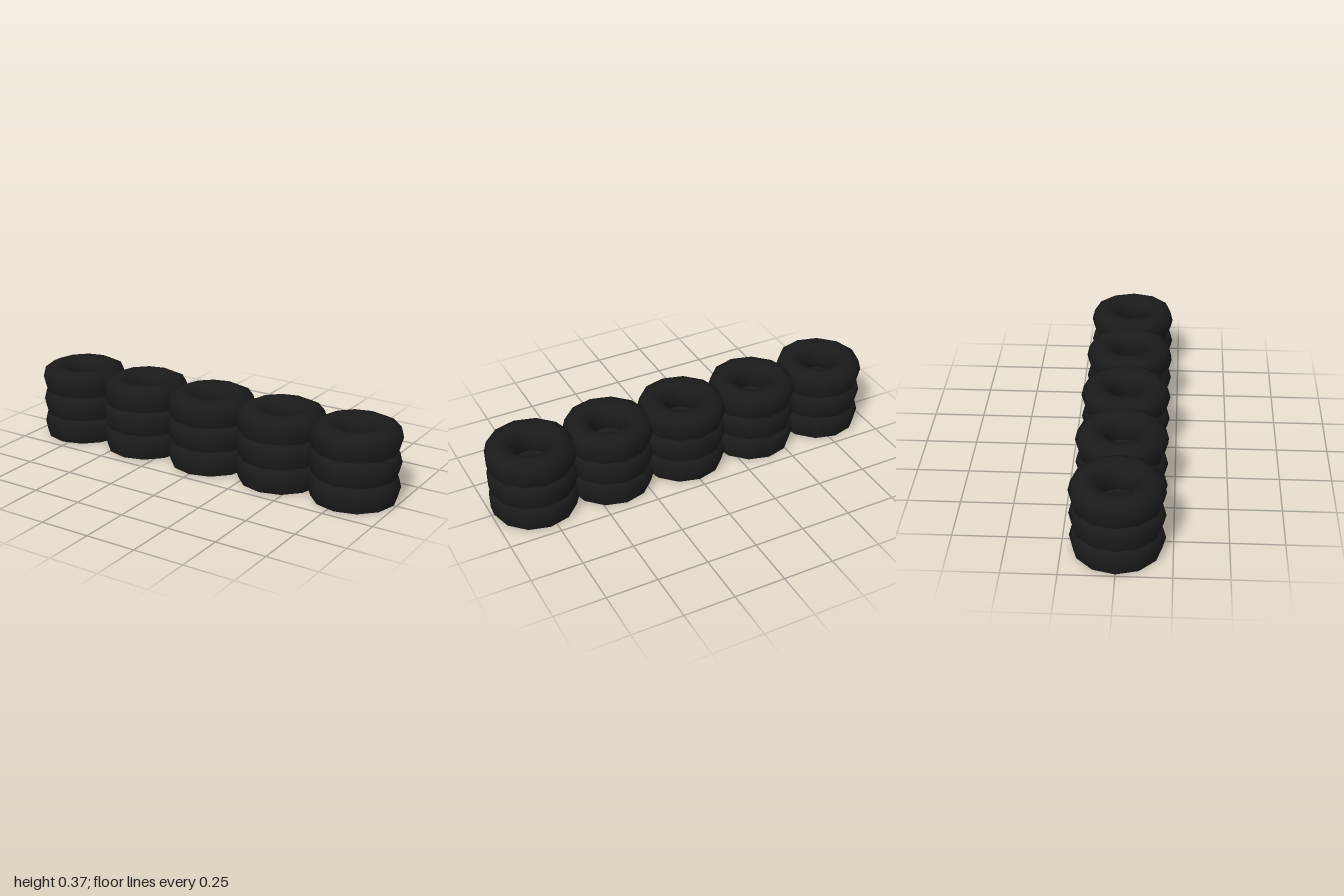
import * as THREE from 'three';
import { toCreasedNormals } from 'three/addons/utils/BufferGeometryUtils.js';

const COLUMNS = 5, LAYERS = 3;
const SPACING = 0.392, TYRE_HEIGHT = 0.1232;

// Tyre cross-section: flat underside, bulging wall, rounded top, inner rim
function tyreGeometry() {
  const profile = [
    [0.085, 0], [0.203, 0], [0.216, 0.05], [0.203, 0.102], [0.16, 0.1235],
    [0.112, 0.115], [0.081, 0.078], [0.076, 0.03], [0.085, 0],
  ].map(([r, y]) => new THREE.Vector2(r, y));
  return toCreasedNormals(new THREE.LatheGeometry(profile, 12), THREE.MathUtils.degToRad(60));
}

export function createModel() {
  const model = new THREE.Group();
  model.name = 'tyreBarrier';
  const rubber = new THREE.MeshStandardMaterial({ color: 0x1a1a1a });
  const geometry = tyreGeometry();

  // Row of tyre stacks
  for (let i = 0; i < COLUMNS; i++) {
    const stack = new THREE.Group();
    stack.name = `tyreStack${i + 1}`;
    stack.position.x = (i - (COLUMNS - 1) / 2) * SPACING;
    for (let j = 0; j < LAYERS; j++) {
      const tyre = new THREE.Mesh(geometry, rubber);
      tyre.name = `tyre${j + 1}`;
      tyre.position.y = j * TYRE_HEIGHT;
      stack.add(tyre);
    }
    model.add(stack);
  }
  return model;
}
